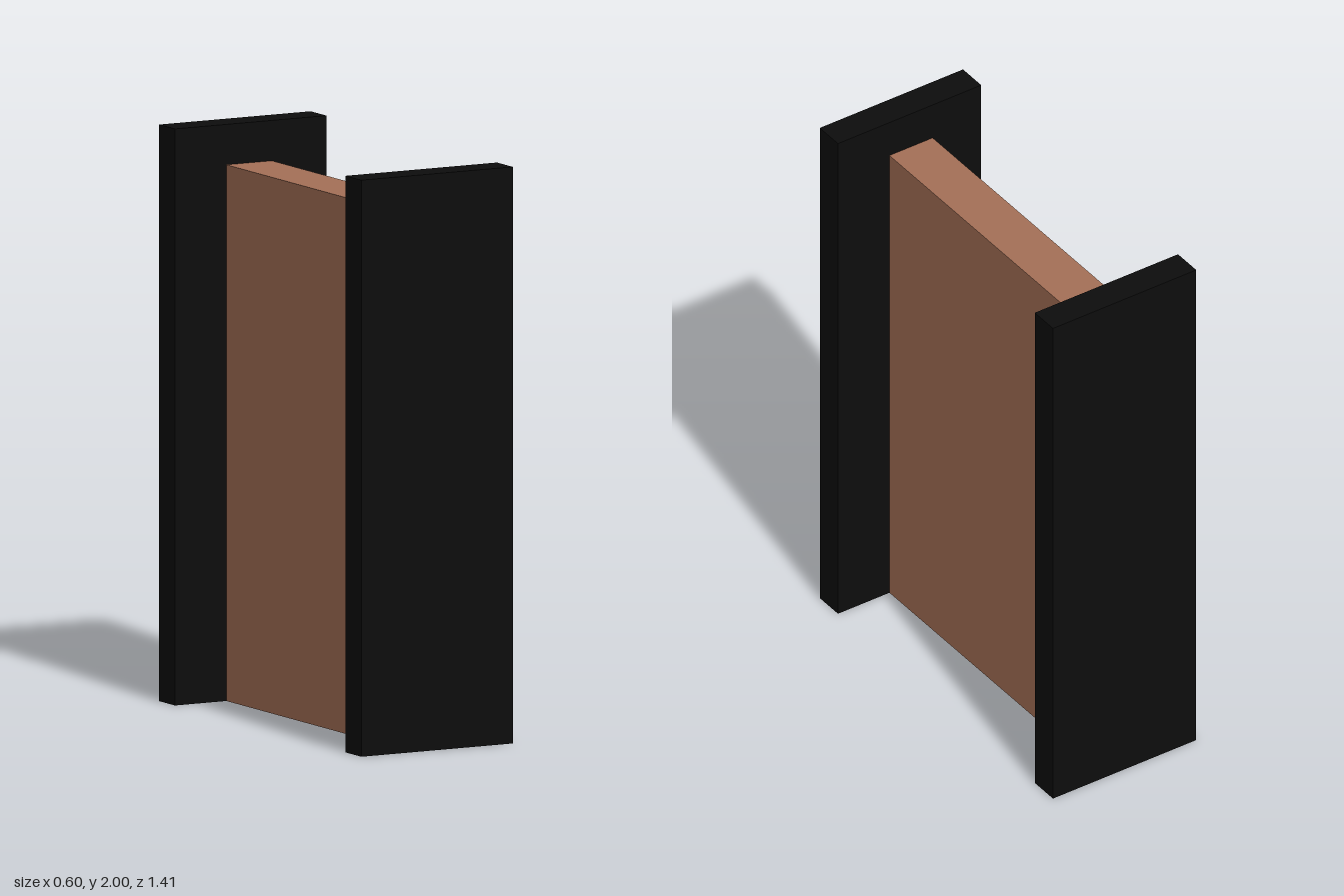
import * as THREE from 'three';

export function createModel() {
  const model = new THREE.Group();
  const black = new THREE.MeshStandardMaterial({ color: 0x0d0d0d });
  black.name = 'black';
  const brown = new THREE.MeshStandardMaterial({ color: 0xa57057 });
  brown.name = 'brown';

  // Box standing on the ground
  const addBox = (name, width, height, depth, x, z, material) => {
    const mesh = new THREE.Mesh(new THREE.BoxGeometry(width, height, depth), material);
    mesh.name = name;
    mesh.position.set(x, height / 2, z);
    model.add(mesh);
  };

  // Upright slabs at both ends
  addBox('frontSlab', 0.596, 2, 0.11, 0, 0.649, black);
  addBox('backSlab', 0.596, 2, 0.11, 0, -0.649, black);

  // Lower wall joining the slabs, set slightly off centre
  addBox('wall', 0.18, 1.86, 1.188, -0.006, 0, brown);

  return model;
}
